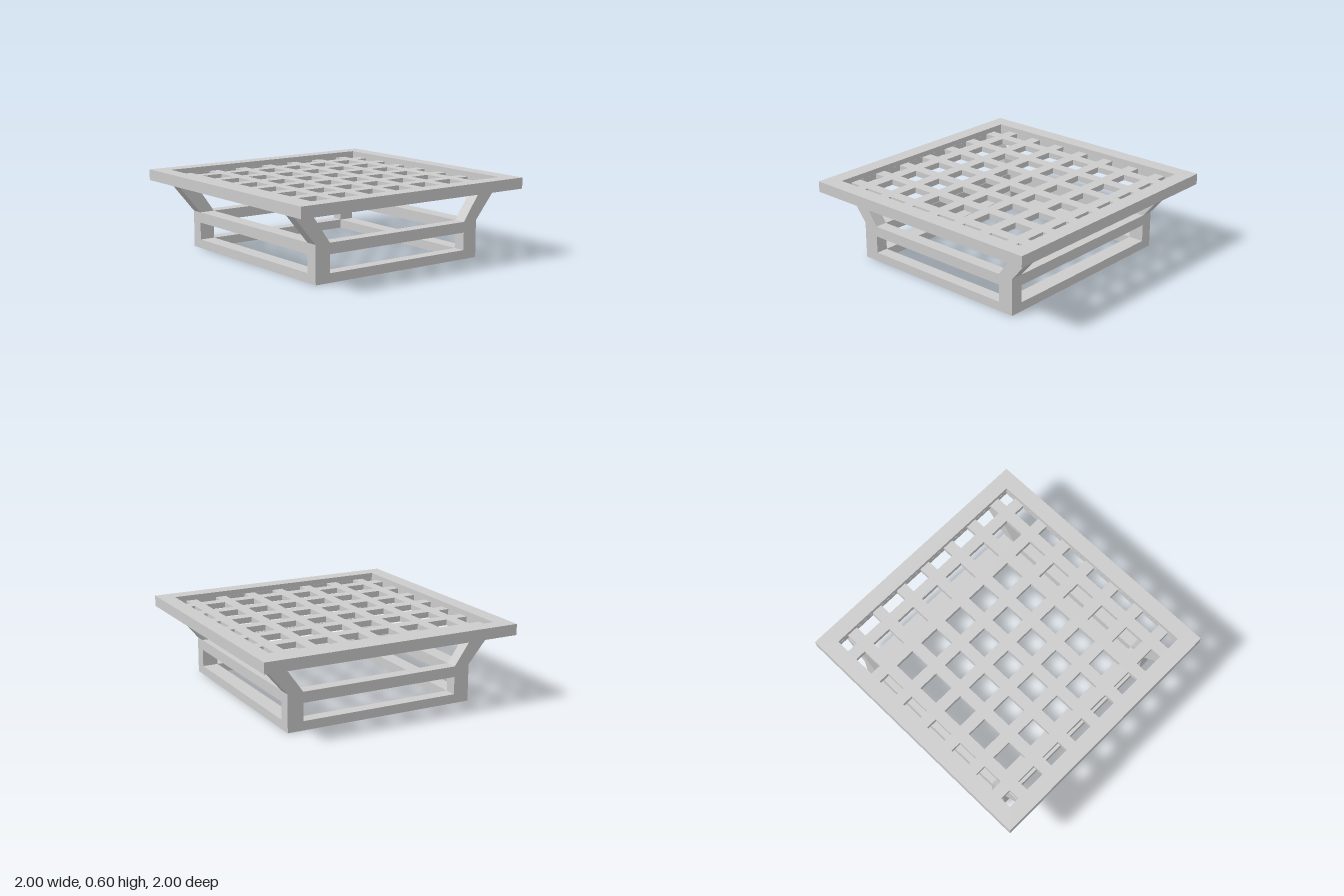
import * as THREE from 'three';

const material = new THREE.MeshStandardMaterial({ color: 0xcccccc, flatShading: true });

// Counter-clockwise rectangle points in the ground plane
function rect(x0, y0, x1, y1) {
  return [[x0, y0], [x1, y0], [x1, y1], [x0, y1]].map(([x, y]) => new THREE.Vector2(x, y));
}

// Horizontal slab between two heights, with rectangular holes
function slab(name, outer, holes, bottom, top) {
  const shape = new THREE.Shape(outer);
  for (const h of holes) shape.holes.push(new THREE.Path(h));
  const geo = new THREE.ExtrudeGeometry(shape, { depth: top - bottom, bevelEnabled: false });
  geo.rotateX(-Math.PI / 2).translate(0, bottom, 0);
  const mesh = new THREE.Mesh(geo, material);
  mesh.name = name;
  return mesh;
}

export function createModel() {
  const model = new THREE.Group();
  const baseX = 0.735, baseZ = 0.795, innerX = 0.615, innerZ = 0.7;
  const frameInner = 0.88;

  // Table top border
  model.add(slab('topFrame', rect(-1, -1, 1, 1),
    [rect(-frameInner, -frameInner, frameInner, frameInner)], 0.517, 0.6));

  // Recessed lattice: seven slats each way leave an 8 x 8 grid of openings
  const edges = [-frameInner];
  for (let i = -3; i <= 3; i++) {
    const centre = i * 0.248, half = 0.043;
    edges.push(centre - half, centre + half);
  }
  edges.push(frameInner);
  const openings = [];
  for (let i = 0; i < edges.length; i += 2) {
    for (let j = 0; j < edges.length; j += 2) {
      const inset = 0.001;
      openings.push(rect(edges[i] + inset, edges[j] + inset, edges[i + 1] - inset, edges[j + 1] - inset));
    }
  }
  model.add(slab('lattice', rect(-frameInner, -frameInner, frameInner, frameInner), openings, 0.517, 0.56));

  // Base rails
  const outer = rect(-baseX, -baseZ, baseX, baseZ);
  const hole = rect(-innerX, -innerZ, innerX, innerZ);
  model.add(slab('lowerRails', outer, [hole], 0, 0.068));
  model.add(slab('upperRails', outer, [hole], 0.2, 0.28));

  // Corner posts and the slanted arms that carry the top
  for (const sx of [-1, 1]) {
    for (const sz of [-1, 1]) {
      const post = new THREE.Mesh(new THREE.BoxGeometry(baseX - innerX, 0.132, baseZ - innerZ), material);
      post.name = 'cornerPost';
      post.position.set(sx * (baseX + innerX) / 2, 0.134, sz * (baseZ + innerZ) / 2);
      model.add(post);

      const profile = [[innerX, 0.28], [baseX, 0.28], [0.935, 0.517], [0.783, 0.517]];
      const shape = new THREE.Shape(profile.map(([x, y]) => new THREE.Vector2(sx * x, y)));
      const geo = new THREE.ExtrudeGeometry(shape, { depth: baseZ - innerZ, bevelEnabled: false });
      const arm = new THREE.Mesh(geo, material);
      arm.name = 'slantedArm';
      arm.position.z = sz > 0 ? innerZ : -baseZ;
      model.add(arm);
    }
  }
  return model;
}
